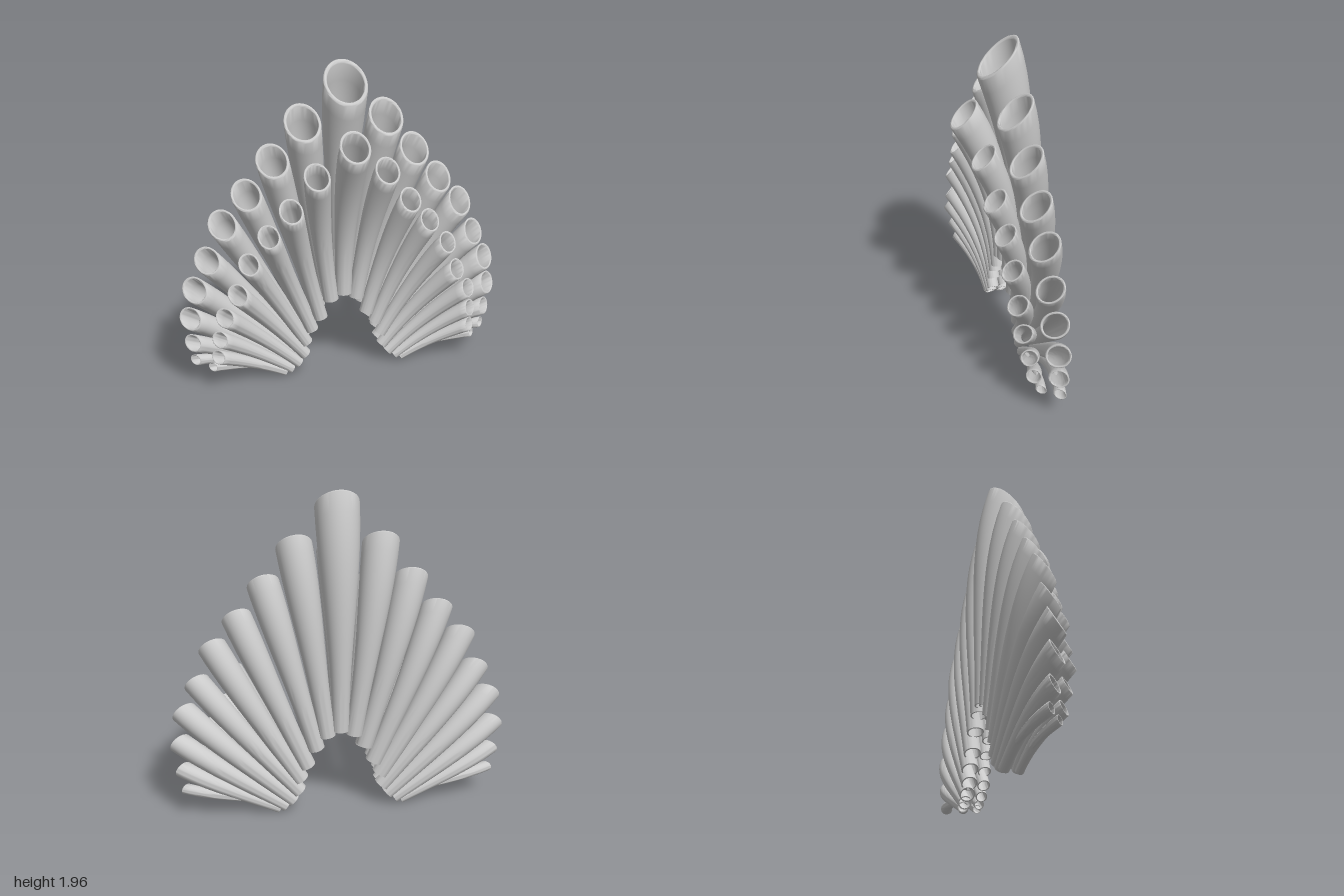
import * as THREE from 'three';
import { toCreasedNormals } from 'three/addons/utils/BufferGeometryUtils.js';

const material = new THREE.MeshStandardMaterial({ color: 0xcccccc });
const SEGMENTS = 36;
const CUT_SLOPE = 0.85; // slant of the mouth, falling towards the front
const INNER = 0.83;     // bore radius relative to the outer radius

// Each row: depth of the feet, curve of the forward bend, feet [x, y] and
// mouths [x, y, z, outer radius] from the middle outwards
const rows = [
  { name: 'backPipe', footZ: -0.178, bend: 2.8,
    feet: [[0, 0.52], [0.08, 0.49], [0.145, 0.41], [0.2, 0.3], [0.24, 0.215],
      [0.25, 0.135], [0.285, 0.08], [0.33, 0.045], [0.37, 0.03], [0.42, 0.085]],
    mouths: [
      [0, 1.86, -0.04, 0.128], [0.25, 1.635, -0.062, 0.106], [0.43, 1.42, -0.068, 0.095],
      [0.587, 1.227, -0.072, 0.088], [0.732, 1.055, -0.075, 0.084], [0.83, 0.84, -0.078, 0.076],
      [0.912, 0.66, -0.079, 0.074], [0.945, 0.47, -0.093, 0.065], [0.935, 0.3, -0.105, 0.051],
      [0.922, 0.175, -0.12, 0.032]] },
  { name: 'frontPipe', footZ: -0.093, bend: 2.2,
    feet: [[0, 0.52], [0.08, 0.485], [0.145, 0.37], [0.2, 0.295], [0.235, 0.21],
      [0.245, 0.13], [0.285, 0.075], [0.33, 0.04], [0.37, 0.025], [0.42, 0.08]],
    mouths: [
      [0, 1.535, 0.16, 0.09], [0.21, 1.36, 0.108, 0.076], [0.36, 1.16, 0.088, 0.069],
      [0.49, 1.01, 0.07, 0.064], [0.61, 0.85, 0.065, 0.061], [0.68, 0.66, 0.055, 0.059],
      [0.76, 0.52, 0.05, 0.054], [0.79, 0.365, 0.02, 0.047], [0.8, 0.235, -0.005, 0.041],
      [0.83, 0.155, -0.04, 0.027]] },
];

// Closed wall section: up the outside, over the rounded lip, down the bore.
// Each entry is [height fraction, drop below the cut, radius factor].
function wallSection(R) {
  const lip = R * (1 - INNER) / 2, section = [], steps = 14;
  for (let i = 0; i < steps; i++) section.push([i / steps, lip * i / steps, 1]);
  for (let i = 0; i <= 6; i++) {
    const a = Math.PI * i / 6;
    section.push([1, lip * (1 - Math.sin(a)), (1 + INNER) / 2 + (1 - INNER) / 2 * Math.cos(a)]);
  }
  for (let i = steps - 1; i >= 0; i--) section.push([i / steps, lip * i / steps, INNER]);
  return section;
}

// Hollow tapered pipe that leans forward near the top and ends in a slanted mouth
function pipeGeometry(length, R, rise, bend) {
  const section = wallSection(R), n = section.length;
  const footR = Math.min(0.05, 0.62 * R);
  const positions = [], index = [];
  section.forEach(([s, drop, factor], j) => {
    for (let i = 0; i < SEGMENTS; i++) {
      const a = i / SEGMENTS * Math.PI * 2;
      const y = s * (length - CUT_SLOPE * R * factor * Math.cos(a)) - drop;
      const t = y / length;
      const r = factor * (footR + (R - footR) * Math.sin(t ** 1.8 * Math.PI / 2));
      const lean = rise * (0.3 * t + 0.7 * s) ** bend;
      positions.push(r * Math.sin(a), y, lean + r * Math.cos(a));
      const k = (i + 1) % SEGMENTS, next = (j + 1) % n;
      const p = j * SEGMENTS + i, q = j * SEGMENTS + k;
      const u = next * SEGMENTS + k, v = next * SEGMENTS + i;
      index.push(p, q, u, p, u, v);
    }
  });
  const geometry = new THREE.BufferGeometry();
  geometry.setAttribute('position', new THREE.Float32BufferAttribute(positions, 3));
  geometry.setIndex(index);
  return toCreasedNormals(geometry, 1.1);
}

export function createModel() {
  const model = new THREE.Group();
  model.name = 'pipeFan';
  for (const { name, footZ, bend, feet, mouths } of rows) {
    const row = new THREE.Group();
    row.name = name + 'Row';
    mouths.forEach(([x, y, z, R], i) => {
      const [fx, fy] = feet[i];
      const geometry = pipeGeometry(Math.hypot(x - fx, y - fy), R, z - footZ, bend);
      // Middle pipe once, the others mirrored to both sides
      for (const side of i === 0 ? [1] : [1, -1]) {
        const pipe = new THREE.Mesh(geometry, material);
        pipe.name = i === 0 ? name + 'Middle' : name + (side > 0 ? 'Left' : 'Right') + i;
        pipe.position.set(side * fx, fy, footZ);
        pipe.rotation.z = -side * Math.atan2(x - fx, y - fy);
        row.add(pipe);
      }
    });
    model.add(row);
  }
  return model;
}
